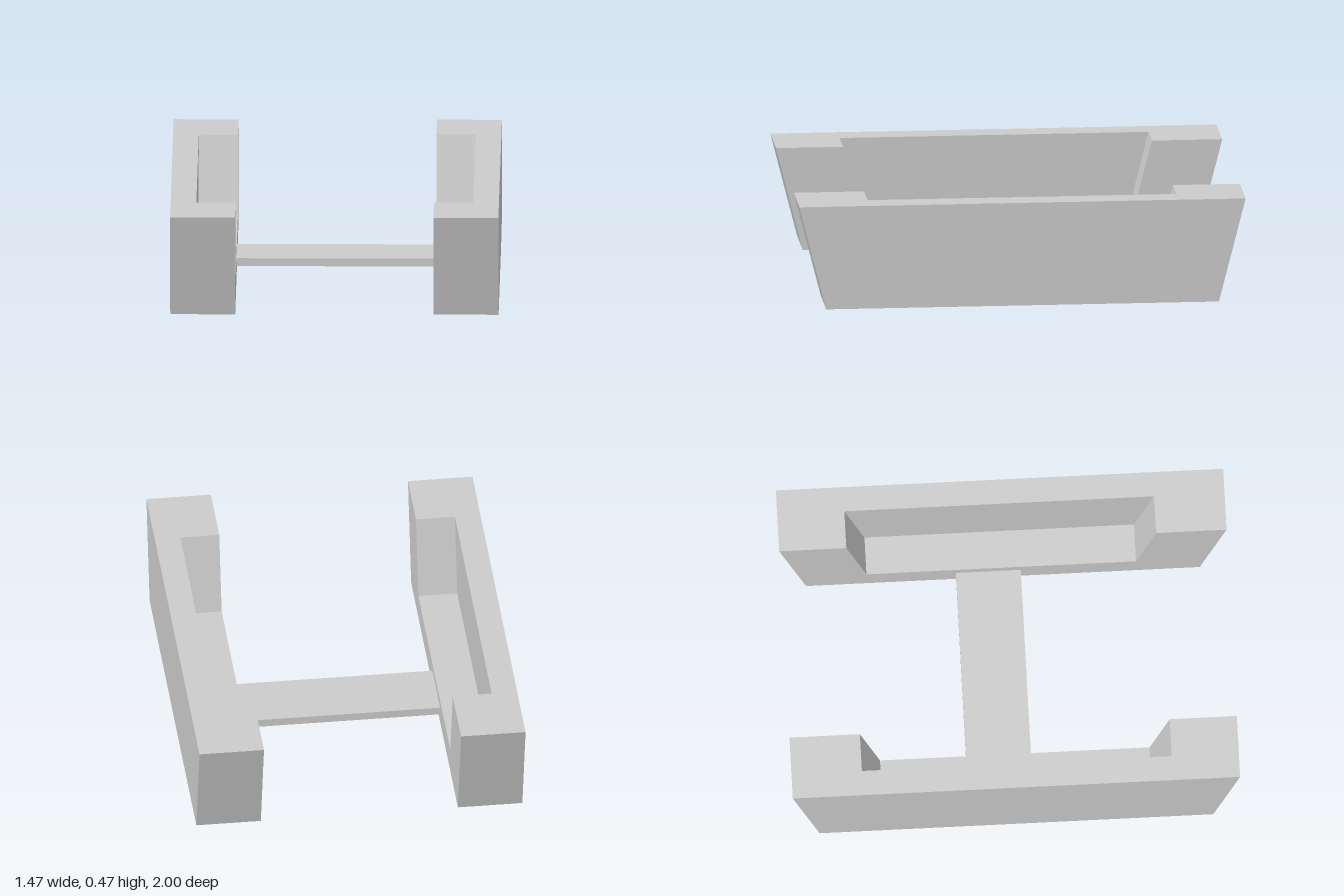
import * as THREE from 'three';

const material = new THREE.MeshStandardMaterial({ color: 0xcccccc, flatShading: true });

// Extrudes a (z, y) outline along x, from xInner outwards to -x
function slab(name, outline, xInner, xOuter) {
  const shape = new THREE.Shape(outline.map(([z, y]) => new THREE.Vector2(z, y)));
  const geometry = new THREE.ExtrudeGeometry(shape, { depth: xInner - xOuter, bevelEnabled: false });
  geometry.rotateY(-Math.PI / 2).translate(xInner, 0, 0);
  const mesh = new THREE.Mesh(geometry, material);
  mesh.name = name;
  return mesh;
}

// One side beam: solid outer wall plus an inner U-shaped rim around the recess
function sideBeam(name) {
  const beam = new THREE.Group();
  beam.name = name;
  const top = 0.47, floor = 0.115;
  beam.add(
    slab('outerWall', [[-0.88, 0], [0.88, 0], [1, top], [-1, top]], -0.618, -0.733),
    slab('recessRim', [
      [-0.88, 0], [0.88, 0], [1, top], [0.7, top],
      [0.61, floor], [-0.595, floor], [-0.685, top], [-1, top],
    ], -0.443, -0.618),
  );
  return beam;
}

export function createModel() {
  const model = new THREE.Group();
  model.name = 'pairedBeams';

  // The second beam is the first turned half way round
  const rightBeam = sideBeam('rightBeam');
  const leftBeam = sideBeam('leftBeam');
  leftBeam.rotation.y = Math.PI;

  // Thin plate joining the beams, a little behind the middle
  const plate = new THREE.Mesh(new THREE.BoxGeometry(0.886, 0.036, 0.29), material);
  plate.name = 'connectingPlate';
  plate.position.set(0, 0.059, -0.065);

  model.add(rightBeam, leftBeam, plate);
  return model;
}
